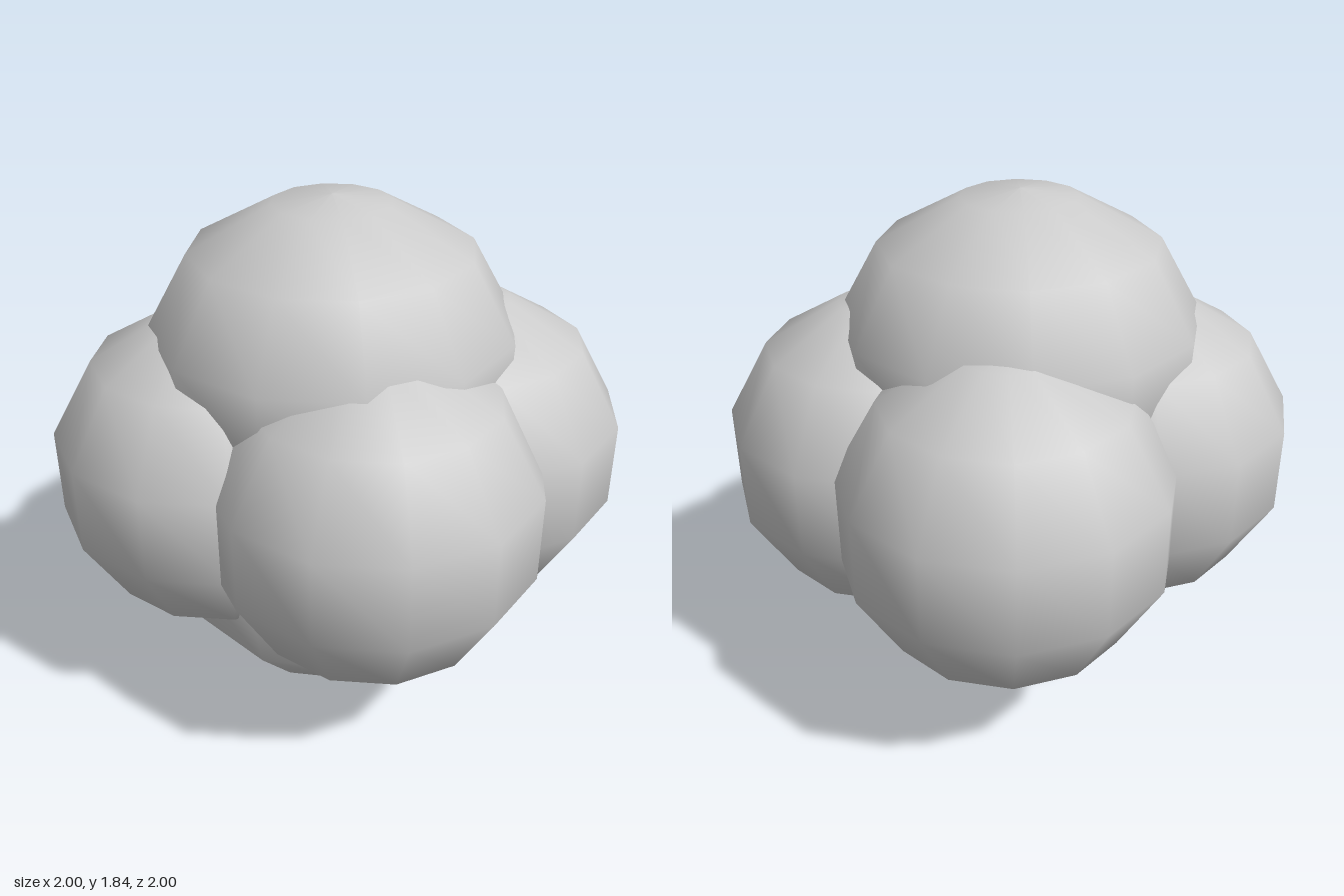
import * as THREE from 'three';

const grey = new THREE.MeshStandardMaterial({ color: 0xcccccc });

// A smooth lobe turned from [radius, height] pairs, listed from bottom to top
function lobe(name, profile, segments, x, y, z) {
  const points = profile.map(([r, h]) => new THREE.Vector2(r, h));
  const mesh = new THREE.Mesh(new THREE.LatheGeometry(points, segments), grey);
  mesh.name = name;
  mesh.position.set(x, y, z);
  return mesh;
}

export function createModel() {
  const bush = new THREE.Group();
  bush.name = 'bush';

  // Round profile shared by the four side lobes
  const R = 0.58;
  const round = [-90, -75, -45, -15, 15, 45, 75, 90].map((deg) => {
    const a = THREE.MathUtils.degToRad(deg);
    return [Math.max(0, R * Math.cos(a)), R * Math.sin(a)];
  });
  const sides = [
    ['leftLobe', 0.44, 0.035],
    ['rightLobe', -0.44, 0.03],
    ['frontLobe', 0.04, 0.435],
    ['backLobe', 0.04, -0.44],
  ];
  for (const [name, x, z] of sides) bush.add(lobe(name, round, 12, x, 0.895, z));

  // Flattened crown
  const crown = [[0, 0.7], [0.45, 0.85], [0.62, 1.15], [0.63, 1.4], [0.48, 1.66], [0.2, 1.81], [0, 1.835]];
  bush.add(lobe('topLobe', crown, 12, -0.03, 0, 0.03));

  // Coarser base, narrowing to a point on the ground
  const base = [[0, 0], [0.36, 0.11], [0.55, 0.32], [0.62, 0.62], [0.5, 0.95], [0, 1.1]];
  bush.add(lobe('bottomLobe', base, 10, -0.03, 0, 0.03));

  return bush;
}
